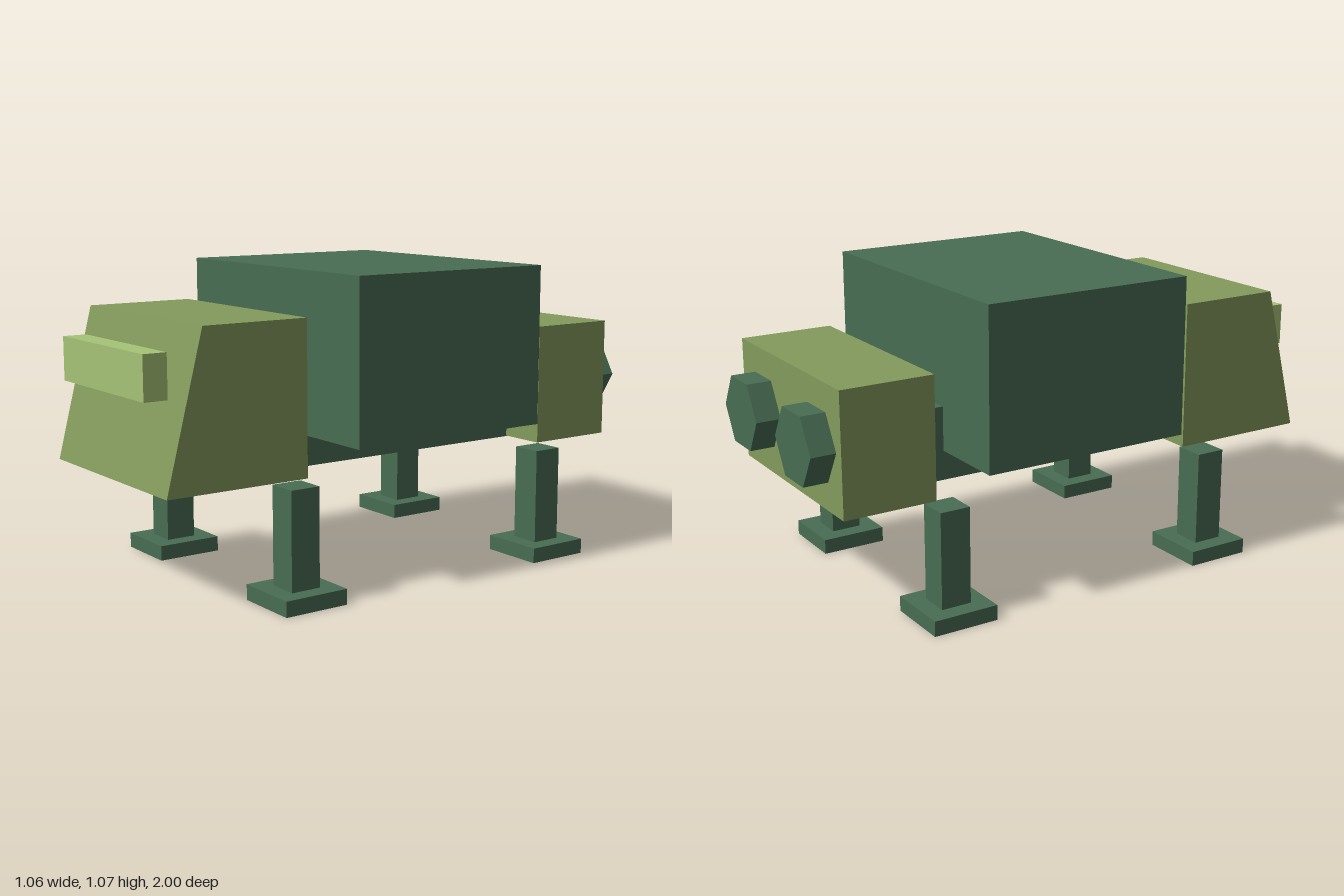
import * as THREE from 'three';

export function createModel() {
  const model = new THREE.Group();
  model.name = 'walkerTruck';

  const material = (name, color) => {
    const m = new THREE.MeshStandardMaterial({ color });
    m.name = name;
    return m;
  };
  const darkGreen = material('darkGreen', 0x486d53);
  const olive = material('olive', 0x849b5c);
  const lightGreen = material('lightGreen', 0xa7c476);

  const add = (name, geometry, mat, parent = model) => {
    const mesh = new THREE.Mesh(geometry, mat);
    mesh.name = name;
    parent.add(mesh);
    return mesh;
  };
  // Box centred on x, given its y and z limits
  const box = (name, mat, width, y0, y1, z0, z1, x = 0, parent = model) => {
    const mesh = add(name, new THREE.BoxGeometry(width, y1 - y0, z1 - z0), mat, parent);
    mesh.position.set(x, (y0 + y1) / 2, (z0 + z1) / 2);
    return mesh;
  };

  // Body: spine, cargo box and rear engine block
  box('chassis', darkGreen, 0.43, 0.403, 0.665, -0.715, 0.62);
  box('cargoBox', darkGreen, 1.03, 0.508, 1.075, -0.45, 0.34);
  box('engineBlock', olive, 0.77, 0.405, 0.837, -0.912, -0.575);

  // Cab with a raked front, extruded sideways from its side profile
  const profile = new THREE.Shape([
    new THREE.Vector2(-0.455, 0.405),
    new THREE.Vector2(-0.455, 0.937),
    new THREE.Vector2(-0.845, 0.937),
    new THREE.Vector2(-0.982, 0.405),
  ]);
  const cabGeometry = new THREE.ExtrudeGeometry(profile, { depth: 0.77, bevelEnabled: false });
  cabGeometry.translate(0, 0, -0.385).rotateY(Math.PI / 2);
  add('cab', cabGeometry, olive);
  box('visor', lightGreen, 0.566, 0.698, 0.85, 0.915, 1.0);

  // Hexagonal exhausts with flat tops
  for (const side of [1, -1]) {
    const geometry = new THREE.CylinderGeometry(0.136, 0.136, 0.09, 6, 1, false, Math.PI / 6).rotateX(Math.PI / 2);
    const flat = geometry.toNonIndexed();
    flat.computeVertexNormals();
    add(side > 0 ? 'leftExhaust' : 'rightExhaust', flat, darkGreen).position.set(side * 0.213, 0.622, -0.955);
  }

  // Four legs with square feet
  for (const side of [1, -1]) {
    for (const [end, z] of [['Front', 0.52], ['Rear', -0.552]]) {
      const leg = new THREE.Group();
      leg.name = (side > 0 ? 'left' : 'right') + end + 'Leg';
      leg.position.set(side * 0.411, 0, z);
      box('shin', darkGreen, 0.11, 0.054, 0.395, -0.055, 0.055, 0, leg);
      box('foot', darkGreen, 0.238, 0, 0.054, -0.119, 0.119, 0, leg);
      model.add(leg);
    }
  }
  return model;
}
